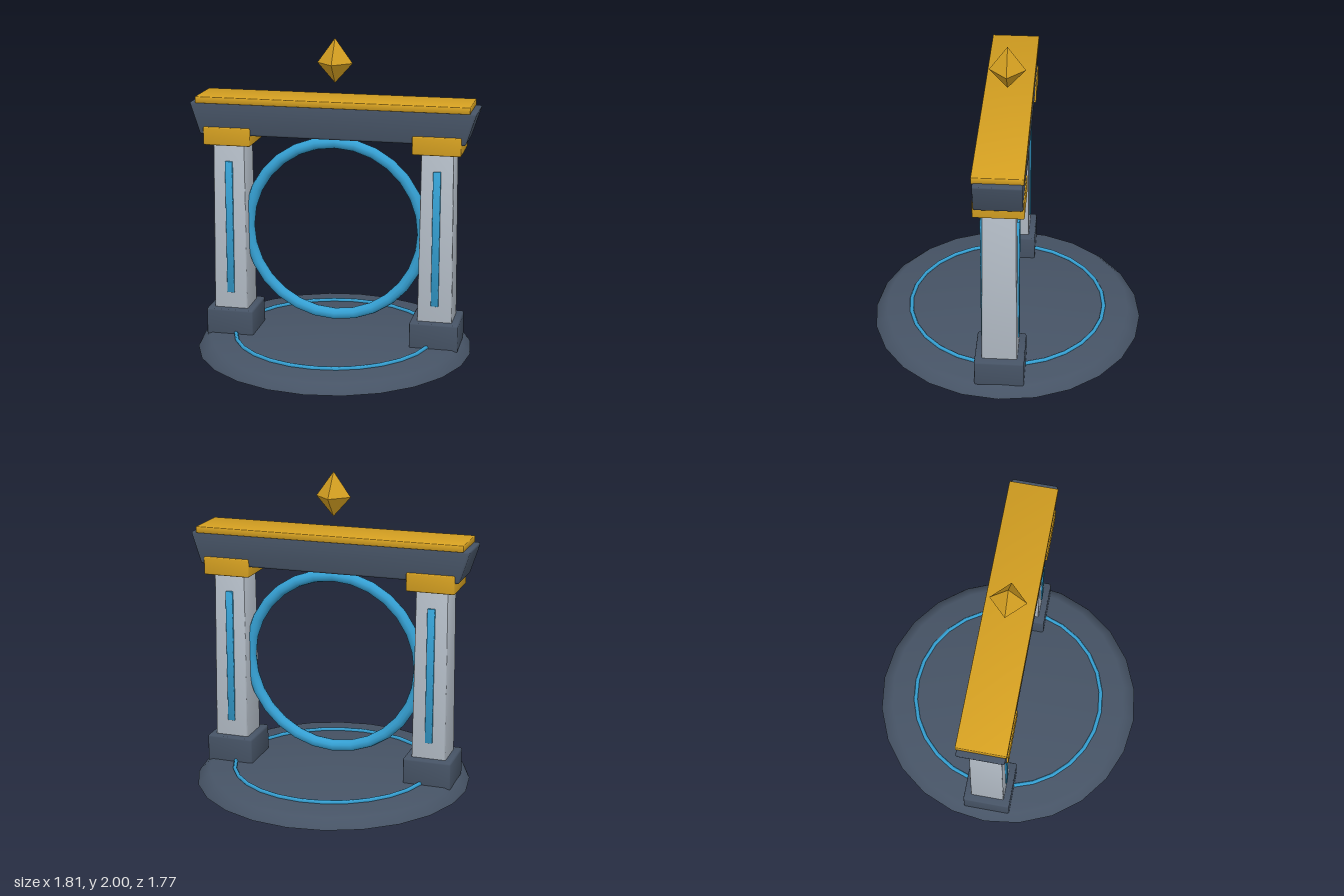
import * as THREE from 'three';
import { toCreasedNormals } from 'three/addons/utils/BufferGeometryUtils.js';
import { RoundedBoxGeometry } from 'three/addons/geometries/RoundedBoxGeometry.js';

const mat = (name, color) => {
  const m = new THREE.MeshStandardMaterial({ color });
  m.name = name;
  return m;
};

export function createModel() {
  const group = new THREE.Group();
  const slate = mat('slate', 0x465365);
  const stone = mat('pale stone', 0xb3bcc6);
  const gold = mat('gold', 0xd5a021);
  const blue = mat('glowing blue', 0x35a0d3);

  const add = (name, geometry, material, x = 0, y = 0, z = 0) => {
    const mesh = new THREE.Mesh(geometry, material);
    mesh.name = name;
    mesh.position.set(x, y, z);
    group.add(mesh);
    return mesh;
  };

  // Bevelled block whose top is scaled by sx and sz relative to its bottom
  const block = (w, h, d, bevel, sx = 1, sz = 1) => {
    const g = new RoundedBoxGeometry(w, h, d, 2, bevel);
    const p = g.attributes.position;
    for (let i = 0; i < p.count; i++) {
      const t = p.getY(i) / h + 0.5;
      p.setX(i, p.getX(i) * (1 + (sx - 1) * t));
      p.setZ(i, p.getZ(i) * (1 + (sz - 1) * t));
    }
    return toCreasedNormals(g, 0.7);
  };

  // Round floor with a sloping rim
  const rim = [[0, 0], [0.885, 0], [0.875, 0.018], [0.83, 0.06], [0.805, 0.07], [0, 0.07]];
  const floor = new THREE.LatheGeometry(rim.map(([x, y]) => new THREE.Vector2(x, y)), 24);
  add('floor', toCreasedNormals(floor, 0.6), slate);

  // Thin ring set into the floor
  const floorRing = new THREE.TorusGeometry(0.643, 0.013, 6, 28).rotateX(Math.PI / 2);
  add('floorRing', floorRing, blue, 0, 0.077, 0);

  // Upright portal ring
  add('portalRing', new THREE.TorusGeometry(0.567, 0.037, 10, 28), blue, 0, 0.772, 0);

  // Pillars with plinths, capitals and inlaid strips on front and back
  for (const [side, s] of [['left', 1], ['right', -1]]) {
    const x = 0.665 * s;
    add(side + 'Plinth', block(0.31, 0.185, 0.31, 0.014), slate, x, 0.1425);
    add(side + 'Pillar', block(0.222, 1.14, 0.222, 0.01, 0.91, 0.91), stone, x, 0.78);
    add(side + 'Capital', block(0.305, 0.118, 0.305, 0.01), gold, x, 1.377);
    for (const [face, f] of [['Front', 1], ['Back', -1]]) {
      add(side + face + 'Strip', block(0.048, 0.87, 0.026, 0.005), blue, x, 0.774, 0.106 * f);
    }
  }

  // Lintel flaring outward to its top, and its gold cover
  add('lintel', block(1.68, 0.205, 0.29, 0.014, 1.08, 1), slate, 0, 1.488);
  add('lintelCover', block(1.732, 0.042, 0.305, 0.005), gold, 0, 1.606);

  // Floating crystal, longer above than below
  const crystal = new THREE.OctahedronGeometry(1);
  const p = crystal.attributes.position;
  for (let i = 0; i < p.count; i++) {
    const y = p.getY(i);
    p.setXYZ(i, p.getX(i) * 0.112, y * (y > 0 ? 0.155 : 0.125), p.getZ(i) * 0.112);
  }
  crystal.computeVertexNormals();
  add('crystal', crystal, gold, 0, 1.845);

  return group;
}
